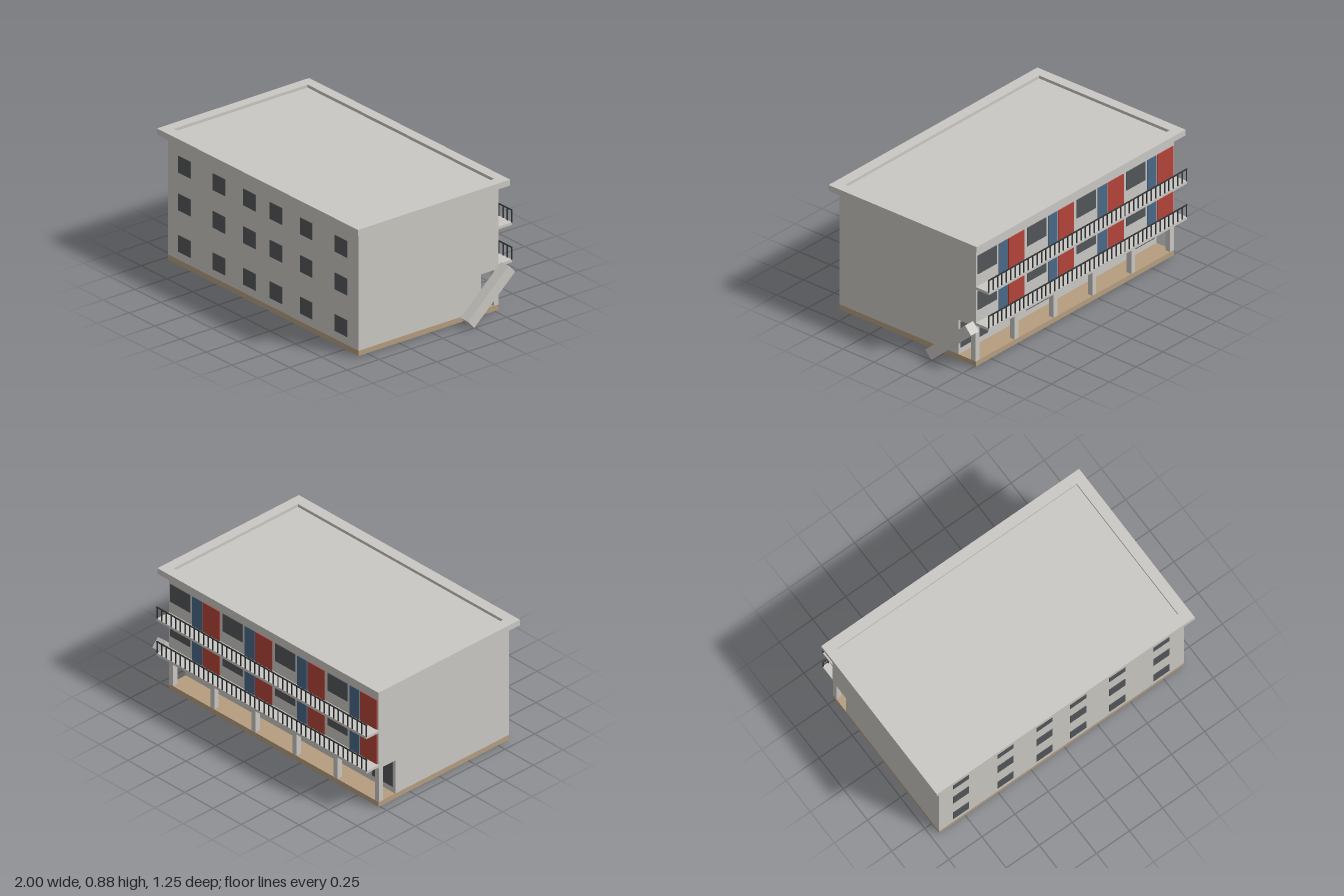
import * as THREE from 'three';

const mat = (name, color) => {
  const m = new THREE.MeshStandardMaterial({ color });
  m.name = name;
  return m;
};

export function createModel() {
  const concrete = mat('concrete', 0xcac8c3);
  const tan = mat('tan floor', 0xb59d7e);
  const glass = mat('dark glass', 0x525659);
  const red = mat('red panel', 0xb5443a);
  const blue = mat('blue door', 0x4a6887);
  const iron = mat('dark iron', 0x333537);

  const model = new THREE.Group();
  model.name = 'apartmentBlock';

  // Box given by its extents on each axis
  const box = (name, material, [x0, x1], [y0, y1], [z0, z1], parent = model) => {
    const mesh = new THREE.Mesh(new THREE.BoxGeometry(x1 - x0, y1 - y0, z1 - z0), material);
    mesh.position.set((x0 + x1) / 2, (y0 + y1) / 2, (z0 + z1) / 2);
    mesh.name = name;
    parent.add(mesh);
    return mesh;
  };

  const W = [-0.95, 0.9];

  // Floor plate and walls, the ground floor set back behind a porch
  box('floorPlate', tan, W, [0.015, 0.05], [-0.52, 0.58]);
  const section = new THREE.Shape([
    [-0.58, 0.05], [0.38, 0.05], [0.38, 0.29], [0.52, 0.29], [0.52, 0.86], [-0.58, 0.86],
  ].map(([a, b]) => new THREE.Vector2(a, b)));
  const walls = new THREE.Mesh(
    new THREE.ExtrudeGeometry(section, { depth: W[1] - W[0], bevelEnabled: false }), concrete);
  walls.rotation.y = Math.PI / 2;
  walls.position.x = W[0];
  walls.name = 'walls';
  model.add(walls);

  // Overhanging roof rim with a sunken deck
  const rect = (Type, x0, x1, z0, z1) => new Type([
    new THREE.Vector2(x0, -z0), new THREE.Vector2(x0, -z1),
    new THREE.Vector2(x1, -z1), new THREE.Vector2(x1, -z0),
  ]);
  const rimShape = rect(THREE.Shape, -1, 0.95, -0.57, 0.625);
  rimShape.holes.push(rect(THREE.Path, -0.93, 0.88, -0.5, 0.55));
  const rim = new THREE.Mesh(
    new THREE.ExtrudeGeometry(rimShape, { depth: 0.04, bevelEnabled: false }), concrete);
  rim.rotation.x = -Math.PI / 2;
  rim.position.y = 0.848;
  rim.name = 'roofRim';
  model.add(rim);
  box('roofDeck', concrete, [-0.93, 0.88], [0.85, 0.868], [-0.5, 0.55]);

  // Front windows, three floors of six
  for (const y of [0.105, 0.383, 0.635]) {
    for (const x of [-0.785, -0.45, -0.155, 0.1, 0.395, 0.73]) {
      box('frontWindow', glass, [x - 0.06, x + 0.06], [y, y + 0.112], [0.578, 0.584]);
    }
  }

  // Upper floors at the back: four flats each, a balcony slab and a railing
  const railing = (y) => {
    const g = new THREE.Group();
    g.name = 'railing';
    box('topRail', iron, [-0.953, 0.903], [y + 0.079, y + 0.086], [-0.626, -0.619], g);
    const count = 46;
    const post = new THREE.BoxGeometry(0.008, 0.082, 0.005);
    for (let i = 0; i < count; i++) {
      const m = new THREE.Mesh(post, iron);
      m.position.set(-0.948 + (1.846 * i) / (count - 1), y + 0.041, -0.6225);
      m.name = 'railPost';
      g.add(m);
    }
    model.add(g);
  };
  for (const y of [0.32, 0.57]) {
    box('balconySlab', concrete, W, [y - 0.018, y], [-0.625, -0.519]);
    railing(y);
    for (let i = 0; i < 4; i++) {
      const x = 0.9 - i * 0.4625;
      const back = [-0.525, -0.518];
      box('flatWindow', glass, [x - 0.19, x - 0.015], [y + 0.085, y + 0.213], back);
      box('flatDoor', blue, [x - 0.295, x - 0.21], [y, y + 0.213], back);
      box('flatPanel', red, [x - 0.45, x - 0.302], [y, y + 0.213], back);
    }
  }

  // Porch columns and openings in the porch wall
  for (let i = 0; i < 6; i++) {
    const x = 0.8825 - i * 0.363;
    box('porchColumn', concrete, [x - 0.0175, x + 0.0175], [0.05, 0.302], [-0.519, -0.482]);
  }
  for (const x of [[0.63, 0.88], [-0.02, 0.27], [-0.93, -0.75]]) {
    box('porchWindow', glass, x, [0.09, 0.27], [-0.383, -0.378]);
  }

  // Sloped outside stair on the left end
  const stair = new THREE.Mesh(new THREE.BoxGeometry(0.075, 0.073, 0.428), concrete);
  stair.position.set(0.9625, 0.174, -0.383);
  stair.rotation.x = Math.atan2(0.285, 0.32);
  stair.name = 'outsideStair';
  model.add(stair);

  return model;
}
